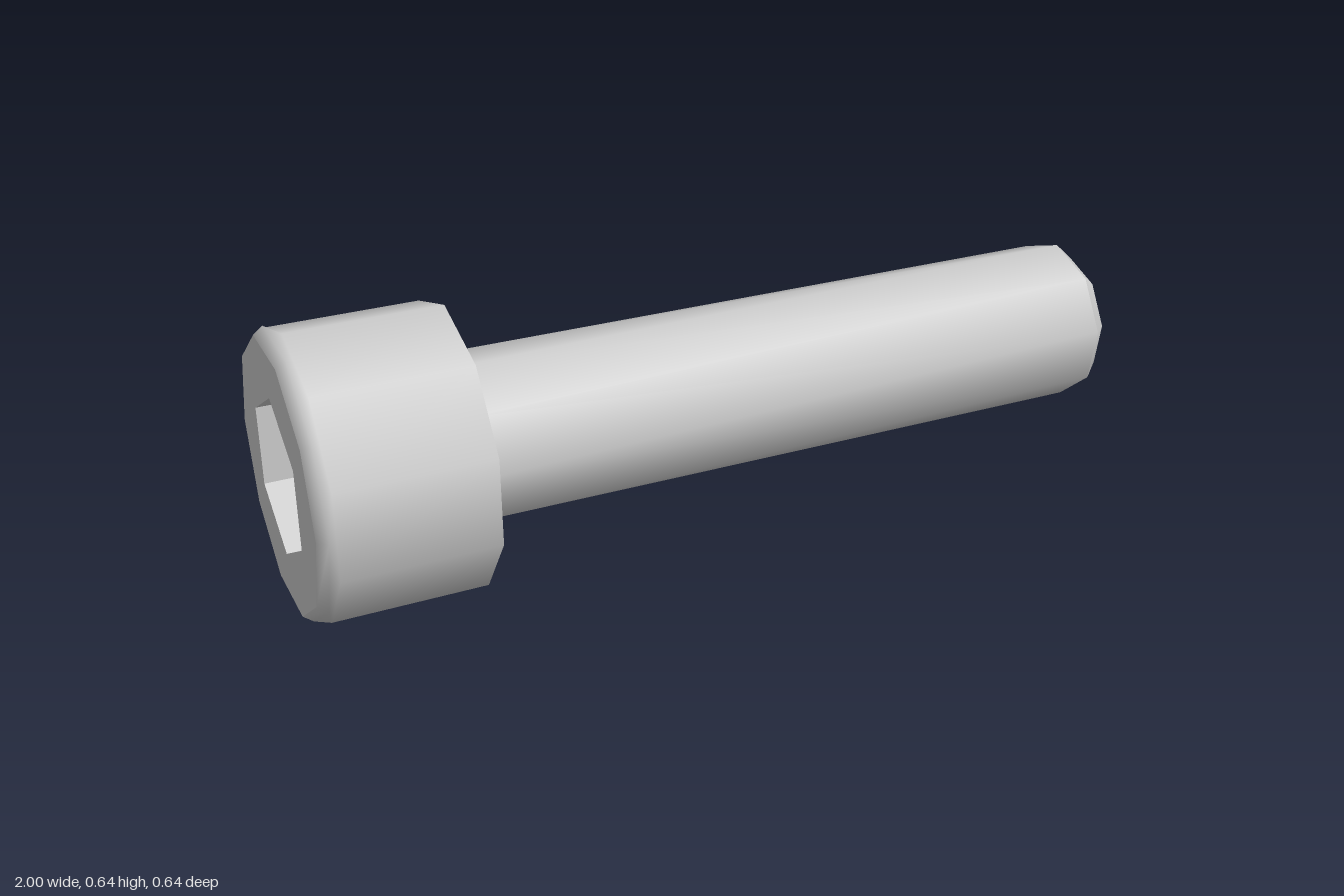
import * as THREE from 'three';

const AXIS_Y = 0.323;   // height of the bolt's axis, which runs along x
const DEG = Math.PI / 180;
const HEAD_SIDES = 10, SHAFT_SIDES = 9;
const HEAD_X = -1, NECK_X = -0.615, TIP_X = 1;
const SOCKET_R = 0.185, SOCKET_DEPTH = 0.19;

const grey = new THREE.MeshStandardMaterial({ color: 0xcccccc });
const socketGrey = new THREE.MeshStandardMaterial({
  color: 0xcccccc, flatShading: true, side: THREE.BackSide,
});

// Skin around the x axis. Each ring: [x, radius, twist in degrees, lean of the normal towards +x].
function loft(rings, sides) {
  const positions = [], normals = [], index = [];
  rings.forEach(([x, r, twist, lean], i) => {
    const out = Math.cos(lean * DEG), along = Math.sin(lean * DEG);
    for (let j = 0; j < sides; j++) {
      const a = twist * DEG + (j / sides) * Math.PI * 2;
      positions.push(x, r * Math.cos(a), r * Math.sin(a));
      normals.push(along, out * Math.cos(a), out * Math.sin(a));
      if (i === 0) continue;
      const k = (j + 1) % sides, p = (i - 1) * sides, q = i * sides;
      index.push(p + j, p + k, q + j, p + k, q + k, q + j);
    }
  });
  const geometry = new THREE.BufferGeometry();
  geometry.setAttribute('position', new THREE.Float32BufferAttribute(positions, 3));
  geometry.setAttribute('normal', new THREE.Float32BufferAttribute(normals, 3));
  geometry.setIndex(index);
  return geometry;
}

// Regular polygon; angles are measured from straight up.
function polygon(r, sides, twist = 0) {
  return Array.from({ length: sides }, (_, j) => {
    const a = twist * DEG + (j / sides) * Math.PI * 2;
    return new THREE.Vector2(r * Math.sin(a), r * Math.cos(a));
  });
}

// Flat end face at x, facing +x (dir 1) or -x (dir -1), with an optional hole.
function endFace(points, x, dir, hole) {
  const shape = new THREE.Shape(points);
  if (hole) shape.holes.push(new THREE.Path(hole));
  return new THREE.ShapeGeometry(shape).rotateY(dir * Math.PI / 2).translate(x, 0, 0);
}

export function createModel() {
  const model = new THREE.Group();
  model.name = 'socketHeadBolt';

  const bolt = new THREE.Group();
  bolt.name = 'bolt';
  bolt.position.y = AXIS_Y;
  model.add(bolt);

  const add = (name, geometry, material = grey) => {
    const mesh = new THREE.Mesh(geometry, material);
    mesh.name = name;
    bolt.add(mesh);
  };

  // Head: rounded rim at the outer end, straight wall to the neck
  add('headWall', loft([
    [HEAD_X, 0.304, 18, -65],
    [-0.978, 0.32, 18, -30],
    [-0.96, 0.322, 36, 0],
    [NECK_X, 0.322, 36, 0],
  ], HEAD_SIDES));
  add('headFace', endFace(polygon(0.304, HEAD_SIDES, 18), HEAD_X, -1, polygon(SOCKET_R, 6)));
  add('headUnderside', endFace(polygon(0.322, HEAD_SIDES), NECK_X, 1));

  // Hexagonal socket
  const socket = new THREE.CylinderGeometry(SOCKET_R, SOCKET_R, SOCKET_DEPTH, 6, 1, true, Math.PI / 6);
  socket.rotateZ(Math.PI / 2).translate(HEAD_X + SOCKET_DEPTH / 2, 0, 0);
  add('socketWalls', socket, socketGrey);
  add('socketFloor', endFace(polygon(SOCKET_R, 6), HEAD_X + SOCKET_DEPTH, -1));

  // Shaft with a chamfered tip
  add('shaft', loft([
    [NECK_X, 0.194, 10, 0],
    [0.958, 0.193, 40, 0],
  ], SHAFT_SIDES));
  add('tipChamfer', loft([
    [0.958, 0.193, 0, 45],
    [TIP_X, 0.154, 0, 45],
  ], SHAFT_SIDES));
  add('tipFace', endFace(polygon(0.154, SHAFT_SIDES), TIP_X, 1));

  return model;
}
